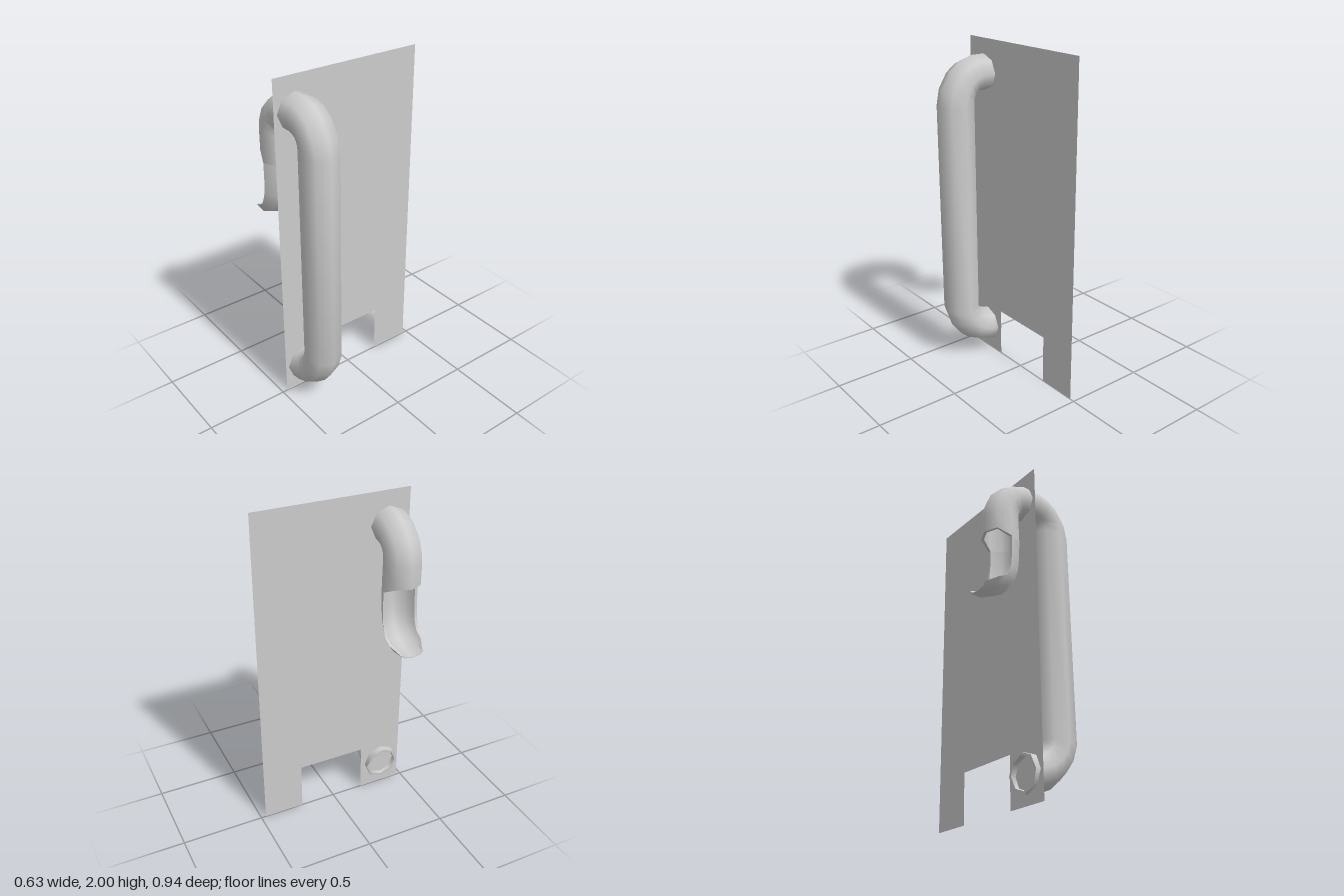
import * as THREE from 'three';
import { mergeGeometries, toCreasedNormals } from 'three/addons/utils/BufferGeometryUtils.js';

const PIPE_Z = 0.34, R = 0.11, WALL = 0.85;

// Skin a grid of points, row after row
function loft(rows) {
  const cols = rows[0].length, idx = [];
  for (let j = 0; j < rows.length - 1; j++)
    for (let i = 0; i < cols - 1; i++) {
      const a = j * cols + i, b = a + 1, c = a + cols, d = c + 1;
      idx.push(a, b, c, b, d, c);
    }
  const g = new THREE.BufferGeometry();
  g.setAttribute('position', new THREE.Float32BufferAttribute(rows.flat(2), 3));
  g.setIndex(idx);
  return g;
}

// Points of an arc around (cx, cy); angle 0 points at the keel (kx, ky)
function section([cx, cy, kx, ky, w], from, to, steps, k, lift = 0) {
  return Array.from({ length: steps + 1 }, (_, i) => {
    const a = from + (to - from) * i / steps, c = Math.cos(a);
    const raise = lift * Math.min(1, Math.max(0, -c) * 1.4);
    return [cx + (kx - cx) * c * k, cy + (ky - cy) * c * k + raise, PIPE_Z + w * Math.sin(a) * k];
  });
}

// Thick shell: outer skin, inner skin and both end rims
function shell(outer, inner, extra = []) {
  const n = outer.length - 1;
  const parts = [
    loft(outer), loft([...inner].reverse()),
    loft([inner[0], outer[0]]), loft([outer[n], inner[n]]), ...extra,
  ];
  return toCreasedNormals(mergeGeometries(parts), 0.95);
}

export function createModel() {
  const group = new THREE.Group();
  const material = new THREE.MeshStandardMaterial({ color: 0xcccccc, side: THREE.DoubleSide });
  const add = (name, geometry) => {
    const mesh = new THREE.Mesh(geometry, material);
    mesh.name = name;
    group.add(mesh);
    return mesh;
  };

  // Thin upright panel with a notch in its lower edge
  const outline = [[-0.47, 0], [-0.2, 0], [-0.2, 0.3], [0.22, 0.3], [0.22, 0], [0.47, 0], [0.47, 2], [-0.47, 2]];
  const shape = new THREE.Shape(outline.map(p => new THREE.Vector2(...p)));
  add('panel', new THREE.ShapeGeometry(shape).rotateY(Math.PI / 2));

  // Eight-sided pipe: inner bend point and outer bend point of each ring
  const bends = [
    [-0.04, 0.275, -0.02, 0.055], [0.02, 0.28, 0.06, 0.07], [0.045, 0.29, 0.15, 0.105],
    [0.07, 0.305, 0.22, 0.165], [0.088, 0.33, 0.28, 0.245], [0.095, 0.36, 0.315, 0.345],
    [0.095, 1.655, 0.315, 1.63], [0.093, 1.675, 0.293, 1.735], [0.085, 1.687, 0.23, 1.835],
    [0.07, 1.695, 0.165, 1.885], [0.05, 1.7, 0.09, 1.91],
    [-0.01, 1.7, -0.05, 1.91], [-0.03, 1.695, -0.145, 1.87], [-0.045, 1.685, -0.225, 1.79],
    [-0.053, 1.67, -0.26, 1.71], [-0.055, 1.65, -0.27, 1.64], [-0.05, 1.48, -0.27, 1.48],
  ];
  const tube = k => bends.map(([ix, iy, ox, oy], i) => section(
    [(ix + ox) / 2, (iy + oy) / 2, ix, iy, R], 0, Math.PI * 2, 8, k,
    i === bends.length - 1 ? 0.04 : 0));
  add('pipe', shell(tube(1), tube(WALL)));

  // Open half-pipe lip curling outwards: rim x, y, keel x, y, half width
  const lip = [
    [-0.16, 1.48, -0.05, 1.48, R], [-0.16, 1.38, -0.055, 1.38, R],
    [-0.168, 1.29, -0.065, 1.3, R], [-0.18, 1.25, -0.09, 1.22, R],
    [-0.2, 1.212, -0.15, 1.155, R], [-0.25, 1.187, -0.24, 1.12, R],
    [-0.318, 1.15, -0.318, 1.12, 0.075],
  ];
  const half = k => lip.map(s => section(s, -Math.PI / 2, Math.PI / 2, 4, k));
  const outer = half(1), inner = half(WALL);
  const rims = [
    loft(outer.map((row, j) => [inner[j][0], row[0]])),
    loft(outer.map((row, j) => [row[4], inner[j][4]])),
  ];
  add('spoutLip', shell(outer, inner, rims));

  return group;
}
